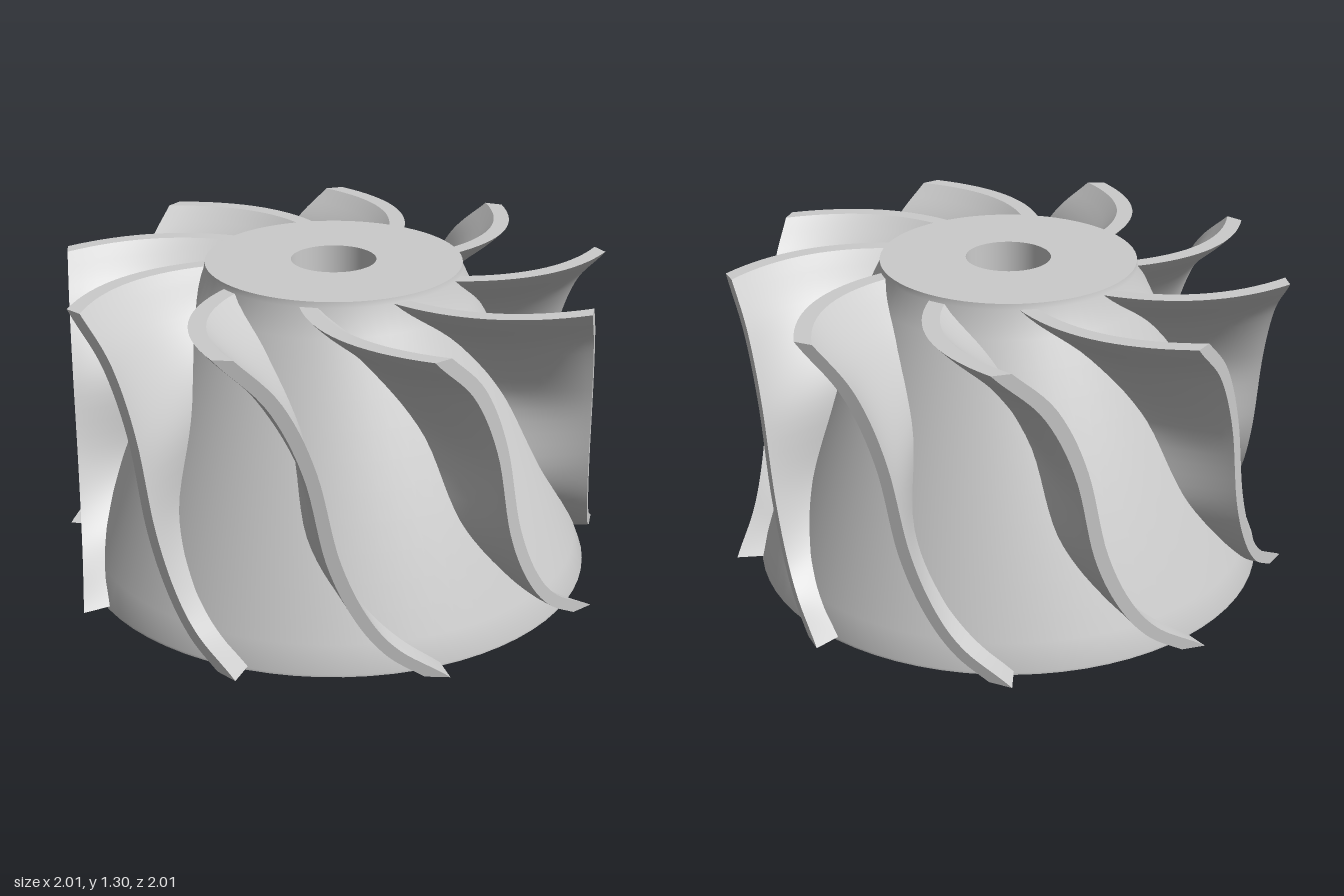
import * as THREE from 'three';
import { toCreasedNormals } from 'three/addons/utils/BufferGeometryUtils.js';

const BLADES = 9;
const TIP_PLANE = 0.93;   // distance of each blade's flat outer edge from the axis
const HALF_THICK = 0.021;

// Slightly convex cone of the hub
const hubRadius = (y) => {
  const k = (y - 0.185) / 1.1;
  return 0.93 - 0.475 * k + 0.06 * k * (1 - k);
};

// Blade sweep: (hub angle in degrees, height, sideways position of the outer edge)
const sweep = new THREE.CatmullRomCurve3([
  [23, 0.19, 0.385], [15.5, 0.28, 0.235], [7, 0.4, 0.135], [-3, 0.6, 0.045],
  [-9, 0.9, -0.025], [-24, 1.12, -0.125], [-49, 1.285, -0.29],
].map(([a, y, x]) => new THREE.Vector3(THREE.MathUtils.degToRad(a), y, x)));

// Middle surface of a blade: u from bottom to top, t from hub to outer edge
function bladePoint(u, t) {
  const s = sweep.getPoint(u);
  const r = hubRadius(s.y) - 0.03;
  const bulge = 0.1 * Math.pow(Math.max(0, (s.y - 0.8) / 0.485), 1.5);
  return new THREE.Vector3(
    THREE.MathUtils.lerp(r * Math.sin(s.x), s.z, t) - bulge * 4 * t * (1 - t),
    s.y,
    THREE.MathUtils.lerp(r * Math.cos(s.x), TIP_PLANE, t)
  );
}

// A thin box bent onto the middle surface, keeping its crisp edges
function bladeGeometry() {
  const geo = new THREE.BoxGeometry(1, 1, 1, 1, 40, 16);
  const pos = geo.attributes.position;
  const e = 0.005;
  for (let i = 0; i < pos.count; i++) {
    const u = pos.getY(i) + 0.5, t = pos.getZ(i) + 0.5;
    const p = bladePoint(u, t);
    const du = bladePoint(Math.min(1, u + e), t).sub(bladePoint(Math.max(0, u - e), t));
    const dt = bladePoint(u, t + e).sub(bladePoint(u, t - e));
    const n = du.cross(dt).normalize();
    const offset = HALF_THICK / Math.max(0.45, Math.abs(n.x));
    pos.setXYZ(i, p.x + Math.sign(pos.getX(i)) * offset, p.y, p.z);
  }
  geo.computeVertexNormals();
  return geo;
}

// Hub with lower boss, rim, cone and through bore
function hubGeometry() {
  const profile = [[0.15, 0], [0.56, 0], [0.56, 0.177], [0.93, 0.177]];
  for (let i = 0; i <= 12; i++) {
    const y = 0.185 + (1.1 * i) / 12;
    profile.push([hubRadius(y), y]);
  }
  profile.push([0.452, 1.305], [0.15, 1.305], [0.15, 0]);
  const lathe = new THREE.LatheGeometry(profile.map(([r, y]) => new THREE.Vector2(r, y)), 72);
  return toCreasedNormals(lathe, 0.6);
}

export function createModel() {
  const model = new THREE.Group();
  model.name = 'impeller';
  const material = new THREE.MeshStandardMaterial({ color: 0xcccccc });
  const rotor = new THREE.Group();
  rotor.name = 'rotor';
  rotor.position.set(0.008, 0, 0.015);
  model.add(rotor);

  const hub = new THREE.Mesh(hubGeometry(), material);
  hub.name = 'hub';
  rotor.add(hub);

  // Ring of identical blades
  const geo = bladeGeometry();
  for (let i = 0; i < BLADES; i++) {
    const blade = new THREE.Mesh(geo, material);
    blade.name = `blade${i + 1}`;
    blade.rotation.y = (i / BLADES) * Math.PI * 2;
    rotor.add(blade);
  }
  return model;
}
